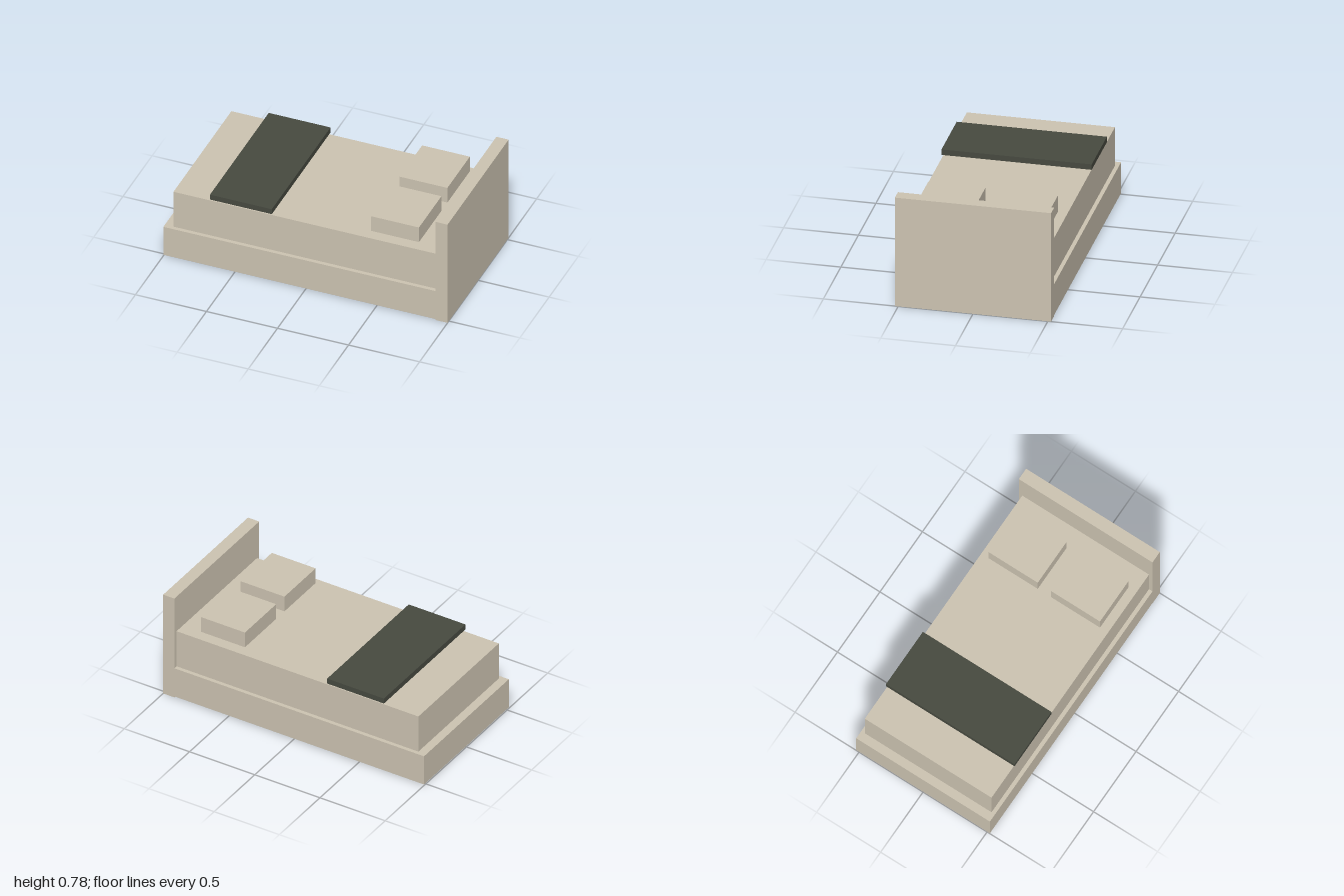
import * as THREE from 'three';

export function createModel() {
  const model = new THREE.Group();
  const linen = new THREE.MeshStandardMaterial({ color: 0xcdc4b2 });
  const charcoal = new THREE.MeshStandardMaterial({ color: 0x474a40 });

  // Box given by its lower and upper limits on each axis
  function addBox(name, material, [x0, x1], [y0, y1], [z0, z1]) {
    const mesh = new THREE.Mesh(new THREE.BoxGeometry(x1 - x0, y1 - y0, z1 - z0), material);
    mesh.position.set((x0 + x1) / 2, (y0 + y1) / 2, (z0 + z1) / 2);
    mesh.name = name;
    model.add(mesh);
  }

  // Bed base, raised slightly off the floor, and the headboard at its end
  addBox('base', linen, [-1, 0.914], [0.008, 0.23], [-0.522, 0.522]);
  addBox('headboard', linen, [0.914, 1], [0, 0.78], [-0.522, 0.522]);

  // Mattress, inset from the base
  addBox('mattress', linen, [-0.94, 0.914], [0.23, 0.507], [-0.495, 0.495]);

  // Throw blanket across the foot end
  addBox('throwBlanket', charcoal, [-0.68, -0.245], [0.519, 0.558], [-0.502, 0.502]);

  // Pair of pillows
  addBox('frontPillow', linen, [0.427, 0.763], [0.522, 0.638], [0.051, 0.435]);
  addBox('backPillow', linen, [0.427, 0.763], [0.522, 0.638], [-0.435, -0.051]);

  return model;
}
